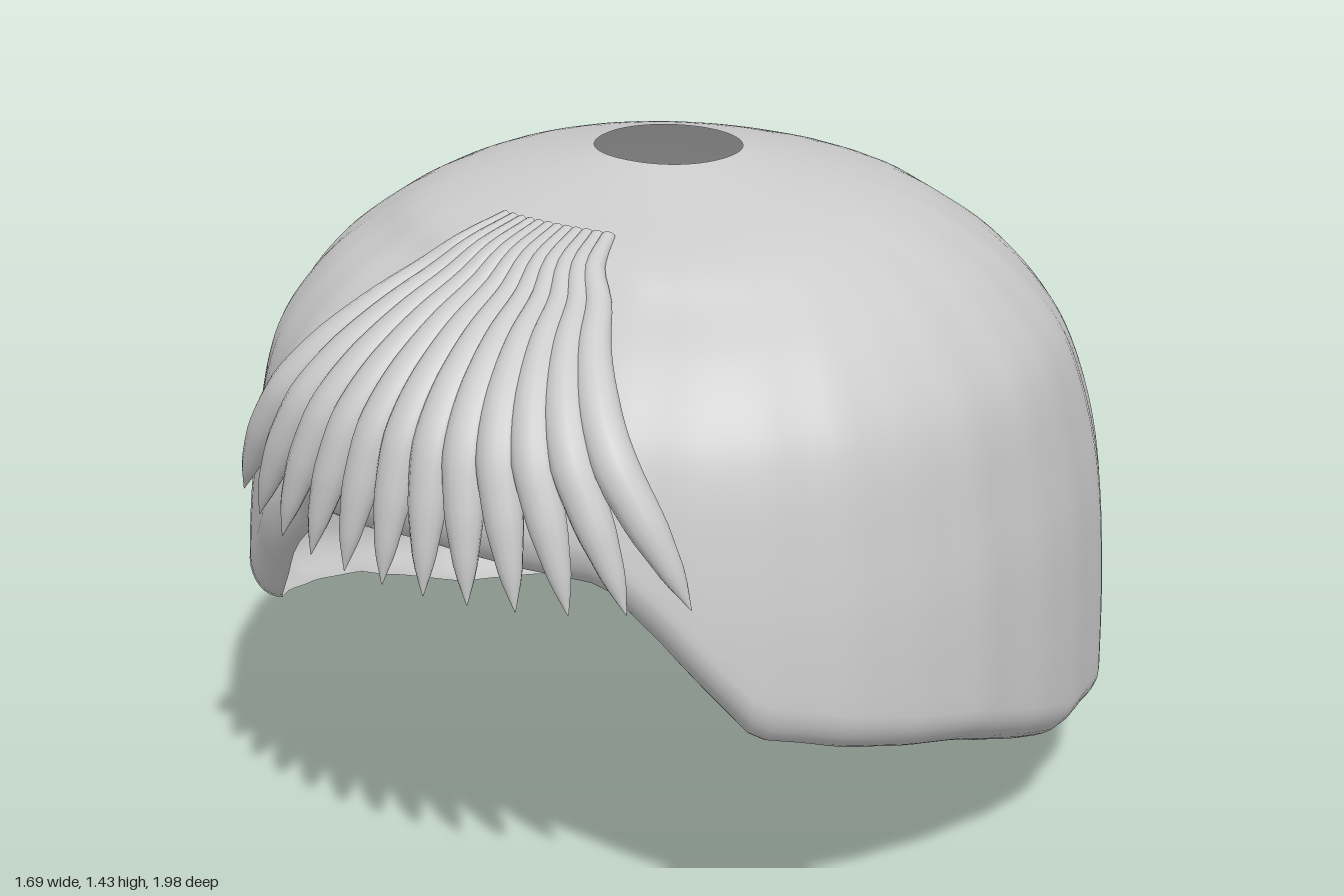
import * as THREE from 'three';
import { mergeVertices } from 'three/addons/utils/BufferGeometryUtils.js';

const ZC = 0.085; // z of the crown opening
const LEVELS = [1.43, 1.38, 1.33, 1.27, 1.2, 1.1, 1.0, 0.85, 0.7, 0.5, 0.3, 0];
const profile = (radii) => new THREE.SplineCurve(radii.map((r, i) => new THREE.Vector2(r, LEVELS[i])));
const side = profile([0.15, 0.37, 0.5, 0.6, 0.68, 0.755, 0.795, 0.82, 0.838, 0.845, 0.845, 0.845]);
const back = profile([0.135, 0.335, 0.485, 0.585, 0.685, 0.795, 0.885, 0.985, 1.035, 1.07, 1.085, 1.08]);
const front = profile([0.145, 0.3, 0.47, 0.545, 0.655, 0.745, 0.79, 0.825, 0.845, 0.86, 0.86, 0.86]);

// Lower edge height and inward curl by angle from the front: [angle, y, inset]
const RIM = [[0, 0.82, 0.93], [0.42, 0.8, 0.93], [0.57, 0.69, 0.93], [0.8, 0.5, 0.93],
  [1.42, 0.37, 0.88], [1.79, 0.23, 0.87], [2.76, 0.06, 0.87], [Math.PI, 0, 0.87]];

function lookUp(table, x, column) {
  let i = 1;
  while (i < table.length - 1 && table[i][0] < x) i++;
  const [a, b] = [table[i - 1], table[i]];
  return THREE.MathUtils.mapLinear(x, a[0], b[0], a[column], b[column]);
}

// Profile parameter at a given height
function paramAt(y) {
  let lo = 0, hi = 1;
  for (let i = 0; i < 30; i++) {
    const mid = (lo + hi) / 2;
    if (side.getPoint(mid).y > y) lo = mid; else hi = mid;
  }
  return lo;
}

// Smooth surface from fn(u, v), with u and v in 0..1
function surface(nu, nv, fn) {
  const pos = [], index = [];
  for (let j = 0; j <= nv; j++) {
    for (let i = 0; i <= nu; i++) pos.push(...fn(i === nu ? 0 : i / nu, j / nv).toArray());
  }
  for (let j = 0; j < nv; j++) {
    for (let i = 0; i < nu; i++) {
      const a = j * (nu + 1) + i, c = a + nu + 1;
      index.push(a, c, a + 1, a + 1, c, c + 1);
    }
  }
  let geo = new THREE.BufferGeometry();
  geo.setAttribute('position', new THREE.Float32BufferAttribute(pos, 3));
  geo.setIndex(index);
  geo = mergeVertices(geo, 1e-5);
  geo.computeVertexNormals();
  return geo;
}

// Cap of hair: open crown, rounded shell, edge curled inward
function capGeometry() {
  const rows = 48, curlRows = 8, curlHeight = 0.09, total = rows + curlRows;
  return surface(144, total, (u, v) => {
    const a = u * Math.PI * 2;
    const fromFront = a > Math.PI ? 2 * Math.PI - a : a;
    const rimY = lookUp(RIM, fromFront, 1), inset = lookUp(RIM, fromFront, 2);
    const row = Math.round(v * total);
    const t = paramAt(rimY + curlHeight) * Math.min(1, row / rows);
    const curl = Math.max(0, row - rows) / curlRows * Math.PI / 2;
    const isFront = Math.cos(a) > 0;
    const power = isFront ? 2 / 2.2 : 1;
    const bend = (n) => Math.sign(n) * Math.abs(n) ** power;
    const ripple = 1 + 0.0025 * (Math.sin(a * 19) + Math.sin(a * 31 + 1)) * Math.min(1, t * 4);
    const scale = (1 - (1 - inset) * (1 - Math.cos(curl))) * ripple;
    return new THREE.Vector3(
      side.getPoint(t).x * bend(Math.sin(a)) * scale,
      side.getPoint(t).y - curlHeight * Math.sin(curl),
      ZC + (isFront ? front : back).getPoint(t).x * bend(Math.cos(a)) * scale);
  });
}

// Point lying over the front of the cap
function onFront(x, y, lift) {
  const t = paramAt(y);
  const s = Math.min(1, Math.abs(x) / side.getPoint(t).x);
  return new THREE.Vector3(x, y, ZC + front.getPoint(t).x * (1 - s ** 2.2) ** (1 / 2.2) + lift);
}

// Half width along a fringe lock: [s, width]
const WIDTH = [[0, 0.014], [0.25, 0.028], [0.5, 0.041], [0.65, 0.044], [0.8, 0.038], [0.92, 0.022], [1, 0.001]];

// One tapered lock; k runs from -1 (right) to 1 (left)
function lockGeometry(k) {
  const points = [];
  for (let i = 0; i <= 10; i++) {
    const v = (i / 10) ** 1.2;
    const drop = 0.585 - 0.03 * k * k;
    const x = k * (0.12 + 0.42 * (1.4 * v - 0.4 * v * v));
    points.push(onFront(x, 1.355 - drop * v, 0.05 * Math.min(1, v * 2)));
  }
  const path = new THREE.CatmullRomCurve3(points);
  const centre = new THREE.Vector3(0, 0.6, 0.1);
  return surface(14, 32, (u, s) => {
    const p = path.getPointAt(s), tangent = path.getTangentAt(s);
    const across = tangent.clone().cross(p.clone().sub(centre)).normalize();
    const out = across.clone().cross(tangent);
    const w = lookUp(WIDTH, s, 1), a = u * Math.PI * 2;
    return p.addScaledVector(across, w * Math.cos(a)).addScaledVector(out, w * 0.85 * Math.sin(a));
  });
}

export function createModel() {
  const group = new THREE.Group();
  group.name = 'hair';
  const material = new THREE.MeshStandardMaterial({ color: 0xcccccc, side: THREE.DoubleSide });

  const cap = new THREE.Mesh(capGeometry(), material);
  cap.name = 'hairCap';
  group.add(cap);

  // Fringe fanned out over the forehead
  const fringe = new THREE.Group();
  fringe.name = 'fringe';
  const count = 12;
  for (let i = 0; i < count; i++) {
    const lock = new THREE.Mesh(lockGeometry((2 * i) / (count - 1) - 1), material);
    lock.name = `fringeLock${i + 1}`;
    fringe.add(lock);
  }
  group.add(fringe);
  return group;
}
